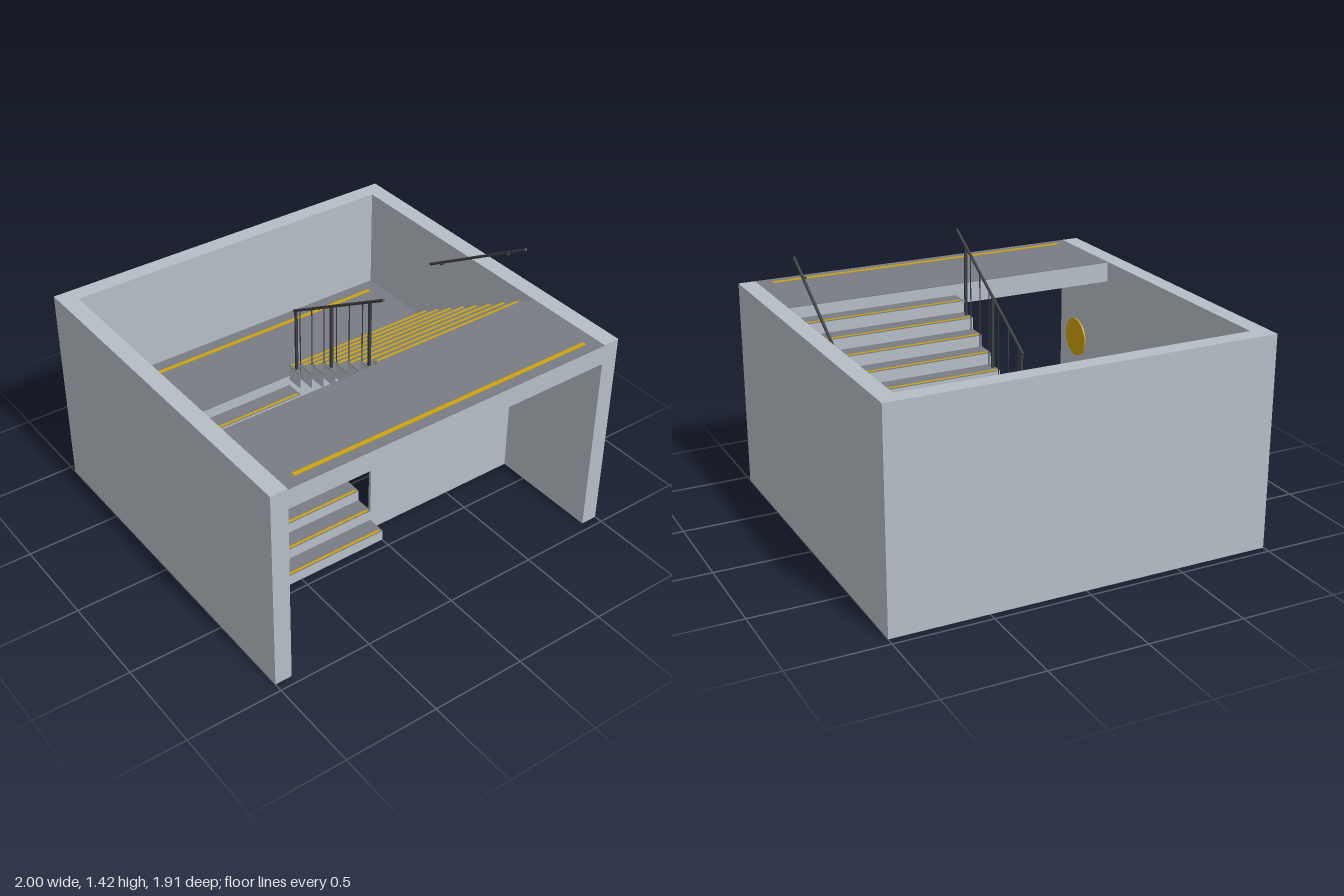
import * as THREE from 'three';

const mat = (name, color) => {
  const m = new THREE.MeshStandardMaterial({ color });
  m.name = name;
  return m;
};

export function createModel() {
  const model = new THREE.Group();
  model.name = 'stairwell';
  const concrete = mat('concrete', 0xb6bdc5);
  const floor = mat('floorGrey', 0x7a7c84);
  const yellow = mat('safetyYellow', 0xcca30e);
  const metal = mat('darkMetal', 0x3c3f43);

  // box given by its limits on each axis
  const box = (name, material, x0, x1, y0, y1, z0, z1, parent = model) => {
    const mesh = new THREE.Mesh(new THREE.BoxGeometry(x1 - x0, y1 - y0, z1 - z0), material);
    mesh.position.set((x0 + x1) / 2, (y0 + y1) / 2, (z0 + z1) / 2);
    mesh.name = name;
    parent.add(mesh);
    return mesh;
  };
  const group = (name) => {
    const g = new THREE.Group();
    g.name = name;
    model.add(g);
    return g;
  };

  const H = 1.11, IN = 0.91, D = 0.955, PLATE = 0.004;
  const Z0 = -0.365, Z1 = 0.45;                 // ends of both flights
  const RISE = H / 18, RUN = (Z1 - Z0) / 8;

  // concrete body with a thin dark walking surface on top
  const slab = (name, x0, x1, y0, y1, z0, z1, parent) => {
    box(name, concrete, x0, x1, y0, y1 - PLATE, z0, z1, parent);
    box(name + 'Surface', floor, x0, x1, y1 - PLATE, y1, z0, z1, parent);
  };

  // outer walls
  box('leftWall', concrete, IN, 1, 0, H, -D, D);
  box('rightWall', concrete, -1, -IN, 0, H, -D, D);
  box('backWall', concrete, -IN, IN, 0, H, -D, -0.865);

  // landings with warning strips
  slab('middleLanding', -IN, IN, 0, H / 2, -0.865, Z0);
  slab('upperLanding', -IN, IN, 1.0, H, Z1, D);
  box('middleWarningStrip', yellow, -0.84, 0.84, H / 2, H / 2 + 0.003, -0.795, -0.773);
  box('upperWarningStrip', yellow, -0.84, 0.84, H, H + 0.003, 0.88, 0.902);

  // solid lower flight climbing to the back, open upper flight climbing to the front
  const lower = group('lowerFlight'), upper = group('upperFlight');
  for (let i = 0; i < 8; i++) {
    const ya = RISE * (i + 1), za = Z1 - RUN * i;
    slab('lowerStep', -IN, 0, 0, ya, za - RUN, za, lower);
    box('lowerNosing', yellow, -0.9, -0.012, ya, ya + 0.002, za - 0.016, za - 0.003, lower);
    const yb = H / 2 + ya, zb = Z0 + RUN * i;
    slab('upperStep', 0, IN, yb - 0.088, yb, zb, zb + RUN, upper);
    box('upperNosing', yellow, 0.012, 0.9, yb, yb + 0.002, zb + 0.003, zb + 0.016, upper);
  }

  // partition below the upper flight
  box('partition', concrete, 0, IN, 0, 0.96, 0.33, 0.348);

  // round sign on the right wall
  const sign = new THREE.Mesh(new THREE.CylinderGeometry(0.107, 0.107, 0.008, 40), yellow);
  sign.rotation.z = Math.PI / 2;
  sign.position.set(-IN + 0.004, 0.585, 0.777);
  sign.name = 'roundSign';
  model.add(sign);

  // sloping bar between two heights in a plane of constant x
  const bar = (name, x, ya, za, yb, zb, parent) => {
    const geo = new THREE.CylinderGeometry(0.0075, 0.0075, Math.hypot(yb - ya, zb - za), 10);
    const mesh = new THREE.Mesh(geo, metal);
    mesh.position.set(x, (ya + yb) / 2, (za + zb) / 2);
    mesh.rotation.x = Math.atan2(zb - za, yb - ya);
    mesh.name = name;
    parent.add(mesh);
  };

  // wall handrails with short brackets
  for (const [side, yFront, yBack] of [[-1, 0.395, 0.825], [1, 1.375, 0.945]]) {
    const rail = group(side < 0 ? 'rightHandrail' : 'leftHandrail');
    const x = side * 0.884;
    bar('rail', x, yFront, 0.4, yBack, -0.31, rail);
    for (const z of [0.29, -0.207]) {
      const y = yFront + (yBack - yFront) * (0.4 - z) / 0.71 - 0.008;
      const inner = side * 0.865;
      box('bracket', metal, Math.min(x, inner), Math.max(x, inner), y - 0.005, y + 0.005, z - 0.004, z + 0.004, rail);
    }
  }

  // central balustrade on the upper flight
  const balustrade = group('balustrade');
  const railY = (z) => 1.41 - (0.4 - z) * 0.603;
  const treadY = (z) => H / 2 + RISE * (Math.floor((z - Z0) / RUN) + 1);
  bar('rail', 0.012, railY(0.4), 0.4, railY(-0.328), -0.328, balustrade);
  for (const z of [-0.316, -0.01, 0.296])
    box('post', metal, 0.008, 0.021, treadY(z), railY(z), z - 0.006, z + 0.006, balustrade);
  for (let i = 0; i < 6; i++) {
    const z = 0.24 - i * 0.104;
    box('baluster', metal, 0.012, 0.016, treadY(z), railY(z), z - 0.002, z + 0.002, balustrade);
  }
  return model;
}
